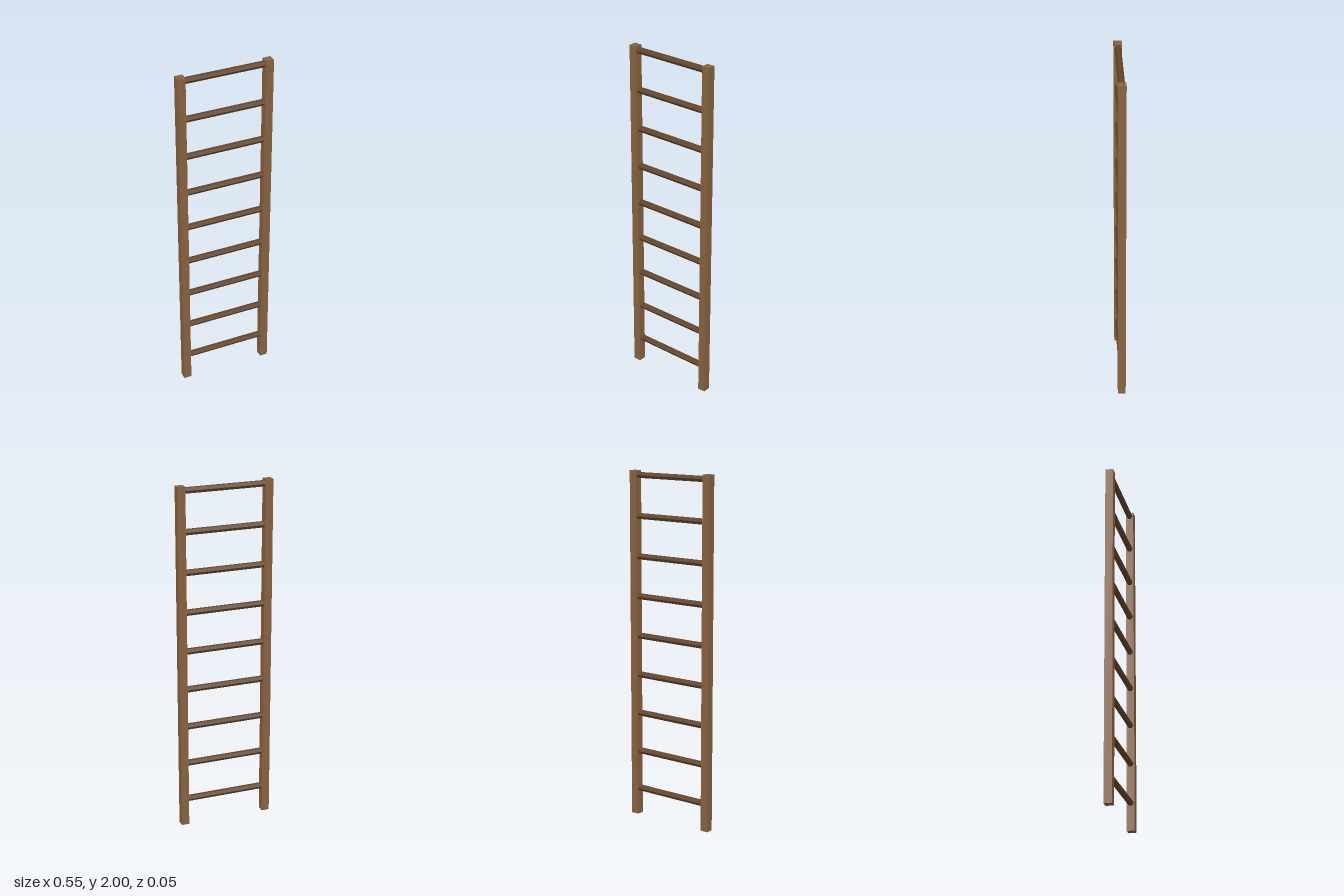
import * as THREE from 'three';

export function createModel() {
  const ladder = new THREE.Group();
  ladder.name = 'ladder';

  const railWood = new THREE.MeshStandardMaterial({ color: 0x8a6340, flatShading: true });
  railWood.name = 'light brown wood';
  const rungWood = new THREE.MeshStandardMaterial({ color: 0x654529, flatShading: true });
  rungWood.name = 'dark brown wood';

  // Two square upright rails
  const railGeometry = new THREE.BoxGeometry(0.045, 2, 0.045);
  for (const side of [-1, 1]) {
    const rail = new THREE.Mesh(railGeometry, railWood);
    rail.name = side > 0 ? 'leftRail' : 'rightRail';
    rail.position.set(side * 0.25, 1, 0);
    ladder.add(rail);
  }

  // Nine evenly spaced six-sided rungs
  const rungCount = 9;
  const rungGeometry = new THREE.CylinderGeometry(0.018, 0.018, 0.48, 6);
  rungGeometry.rotateZ(Math.PI / 2);
  for (let i = 0; i < rungCount; i++) {
    const rung = new THREE.Mesh(rungGeometry, rungWood);
    rung.name = `rung${i + 1}`;
    rung.position.y = 0.157 + i * 0.2272;
    ladder.add(rung);
  }

  return ladder;
}
